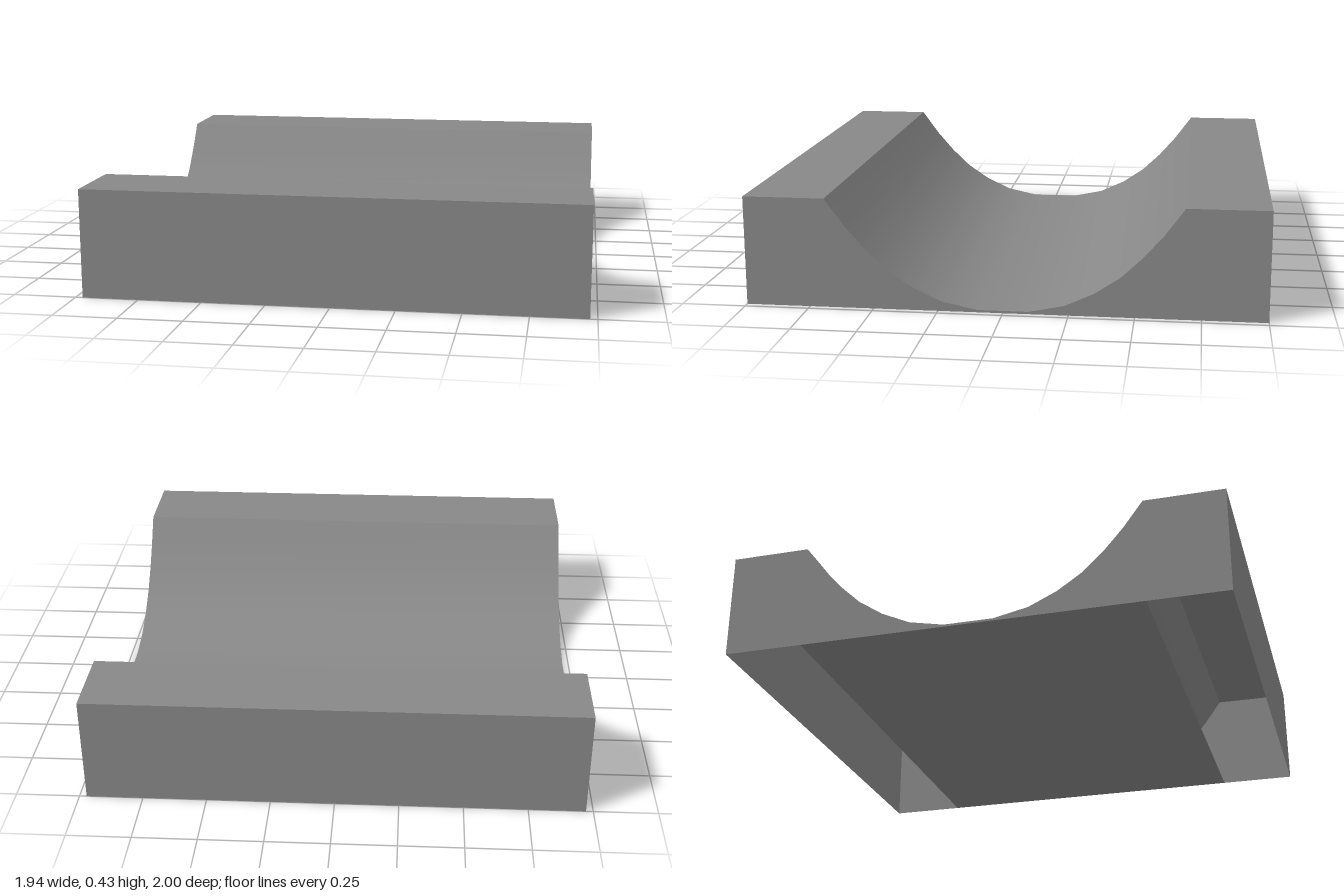
import * as THREE from 'three';

const W = 0.972, H = 0.428, D = 1;
const material = new THREE.MeshStandardMaterial({ color: 0x888888, side: THREE.DoubleSide });

// Front half of the trough curve as [z, y], from lip to bottom
const half = [[0.683, H], [0.605, 0.322], [0.53, 0.236], [0.446, 0.156], [0.348, 0.09], [0.236, 0.038], [0.098, 0.009]];
const trough = [...half, ...half.map(([z, y]) => [-z, y]).reverse()];
const lip = half[0][0];

// Sheet swept across the full width along a [z, y] path, smooth along the path
function sheet(path) {
  const positions = [], index = [];
  path.forEach(([z, y], i) => {
    positions.push(-W, y, z, W, y, z);
    const a = 2 * i;
    if (i < path.length - 1) index.push(a, a + 1, a + 3, a, a + 3, a + 2);
  });
  const geometry = new THREE.BufferGeometry();
  geometry.setAttribute('position', new THREE.Float32BufferAttribute(positions, 3));
  geometry.setIndex(index);
  geometry.computeVertexNormals();
  return geometry;
}

export function createModel() {
  const group = new THREE.Group();
  const add = (name, geometry) => {
    const mesh = new THREE.Mesh(geometry, material);
    mesh.name = name;
    group.add(mesh);
    return mesh;
  };

  // Outer walls, rims and curved channel
  add('frontWall', sheet([[D, 0], [D, H]]));
  add('frontRim', sheet([[D, H], [lip, H]]));
  add('trough', sheet(trough));
  add('backRim', sheet([[-lip, H], [-D, H]]));
  add('backWall', sheet([[-D, H], [-D, 0]]));

  // Floor below the channel only; the side blocks are hollow and open underneath
  add('floor', sheet([[-lip, 0], [lip, 0]]));

  // End caps
  const outline = [[-D, 0], [D, 0], [D, H], ...trough, [-D, H]];
  const shape = new THREE.Shape(outline.map(([z, y]) => new THREE.Vector2(z, y)));
  for (const side of [-1, 1]) {
    const cap = add(side > 0 ? 'leftEndCap' : 'rightEndCap', new THREE.ShapeGeometry(shape));
    cap.rotation.y = side * Math.PI / 2;
    cap.position.x = side * W;
  }
  return group;
}
